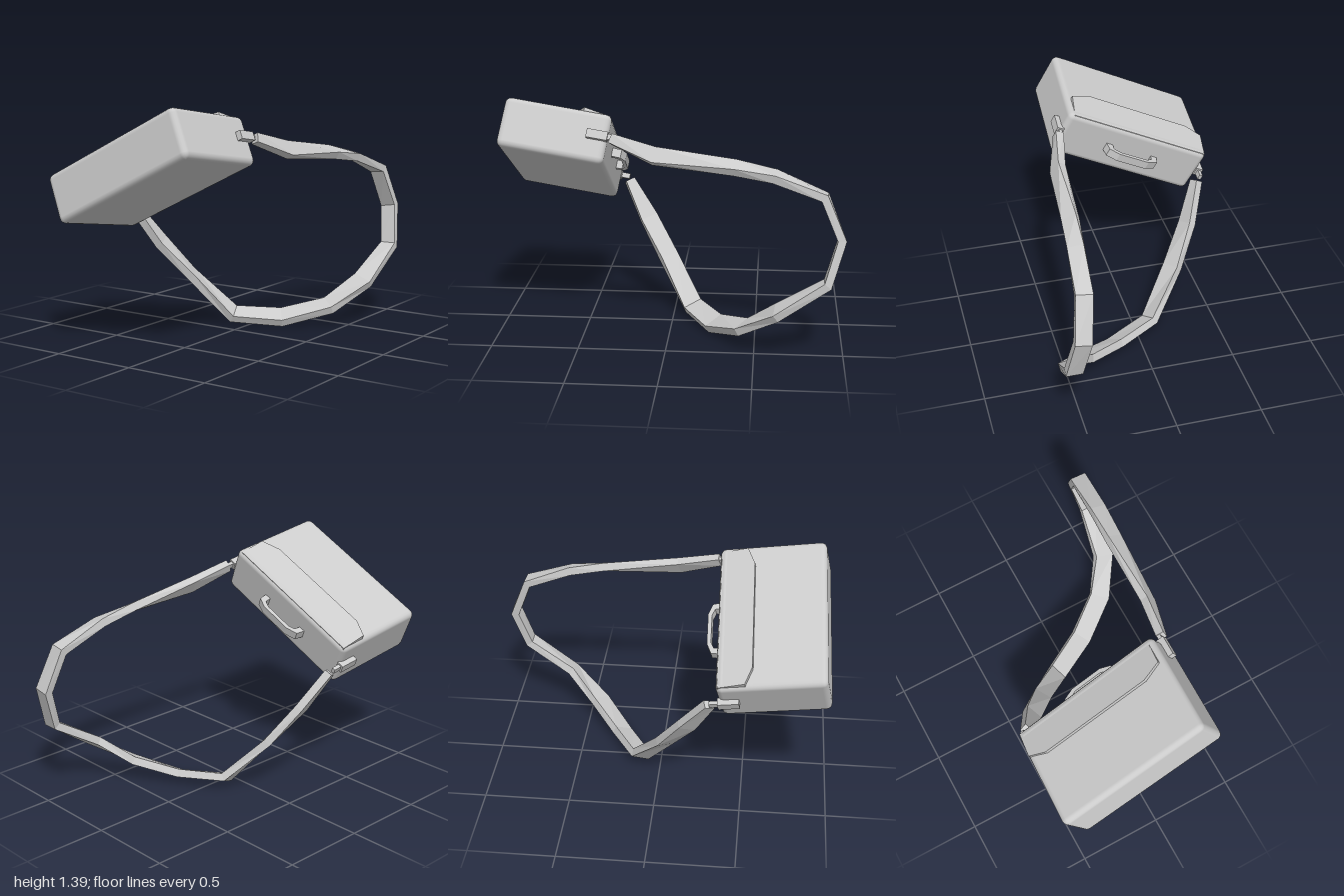
import * as THREE from 'three';
import { RoundedBoxGeometry } from 'three/addons/geometries/RoundedBoxGeometry.js';

const grey = new THREE.MeshStandardMaterial({ color: 0xcccccc });
const flat = new THREE.MeshStandardMaterial({ color: 0xcccccc, flatShading: true });
const V = (p) => new THREE.Vector3(...p);

function add(parent, name, geometry, material = flat) {
  const mesh = new THREE.Mesh(geometry, material);
  mesh.name = name;
  parent.add(mesh);
  return mesh;
}

// Outline in (length, toward handle), extruded through the bag's thickness
function slab(points, depth) {
  const shape = new THREE.Shape(points.map(([x, y]) => new THREE.Vector2(x, y)));
  return new THREE.ExtrudeGeometry(shape, { depth, bevelEnabled: false }).rotateX(-Math.PI / 2);
}

// Twisting band of rectangular section: each station is [centre, width vector]
function band(stations, thickness) {
  const centres = stations.map((s) => V(s[0]));
  const pos = [], index = [], last = stations.length - 1;
  stations.forEach((s, i) => {
    const t = centres[Math.min(i + 1, last)].clone().sub(centres[Math.max(i - 1, 0)]).normalize();
    const w = V(s[1]);
    const half = w.length() / 2;
    w.addScaledVector(t, -w.dot(t)).setLength(half);
    const n = t.clone().cross(w).setLength(thickness / 2);
    for (const [a, b] of [[-1, -1], [1, -1], [1, 1], [-1, 1]]) {
      pos.push(...centres[i].clone().addScaledVector(w, a).addScaledVector(n, b).toArray());
    }
    if (i === last) return;
    for (let j = 0; j < 4; j++) {
      const a = i * 4 + j, b = i * 4 + (j + 1) % 4;
      index.push(a, b, b + 4, a, b + 4, a + 4);
    }
  });
  const e = last * 4;
  index.push(0, 2, 1, 0, 3, 2, e, e + 1, e + 2, e, e + 2, e + 3);
  const g = new THREE.BufferGeometry();
  g.setAttribute('position', new THREE.Float32BufferAttribute(pos, 3));
  g.setIndex(index);
  const out = g.toNonIndexed();
  out.computeVertexNormals();
  return out;
}

export function createModel() {
  const model = new THREE.Group();
  model.name = 'shoulderBag';

  // Case, lying tilted with its handle toward the back
  const bag = new THREE.Group();
  bag.name = 'case';
  const x = V([0.894, 0.447, -0.027]).normalize();
  const y = V([-0.046, 0.154, 0.987]).cross(x).normalize();
  const z = x.clone().cross(y);
  bag.quaternion.setFromRotationMatrix(new THREE.Matrix4().makeBasis(x, y, z));
  bag.position.set(-0.107, 1.037, 0.655);
  model.add(bag);

  add(bag, 'body', new RoundedBoxGeometry(0.955, 0.29, 0.615, 2, 0.035), grey);

  // Flap with cut corners, rising toward its free edge
  const flap = slab([[-0.462, 0.14], [-0.36, 0.098], [0.33, 0.098], [0.445, 0.14],
    [0.445, 0.295], [-0.462, 0.295]], 1);
  const p = flap.attributes.position;
  for (let i = 0; i < p.count; i++) {
    p.setY(i, 0.12 + p.getY(i) * (0.053 - 0.17 * (-p.getZ(i) - 0.1)));
  }
  flap.computeVertexNormals();
  add(bag, 'flap', flap);

  // Carrying handle
  const handle = slab([[-0.175, 0], [-0.165, 0.06], [-0.1, 0.085], [0.1, 0.085], [0.165, 0.06],
    [0.175, 0], [0.135, 0], [0.13, 0.045], [0.09, 0.062], [-0.09, 0.062], [-0.13, 0.045],
    [-0.135, 0]], 0.05);
  add(bag, 'handle', handle).position.set(0, -0.025, -0.3);

  // Strap brackets and their links at both ends
  for (const side of [-1, 1]) {
    add(bag, 'strapBracket', new THREE.BoxGeometry(0.045, 0.05, 0.12))
      .position.set(side * 0.487, 0.01, -0.25);
    add(bag, 'strapLink', new THREE.BoxGeometry(0.022, 0.032, 0.06))
      .position.set(side * 0.487, 0.01, -0.33);
  }

  // Shoulder strap, looping back from one end of the case to the other
  add(model, 'strap', band([
    [[-0.505, 0.755, 0.31], [-0.03, 0.03, -0.04]],
    [[-0.41, 0.54, 0.18], [-0.05, 0.05, -0.08]],
    [[-0.28, 0.33, 0.045], [-0.07, 0.035, -0.08]],
    [[-0.09, 0.08, -0.12], [-0.05, 0.05, -0.09]],
    [[0.165, 0.065, -0.265], [-0.045, 0.055, -0.1]],
    [[0.395, 0.135, -0.435], [-0.07, 0.045, -0.09]],
    [[0.525, 0.275, -0.625], [-0.09, 0.06, -0.05]],
    [[0.557, 0.46, -0.9], [-0.095, 0, 0]],
    [[0.518, 0.7, -0.972], [-0.095, 0, 0]],
    [[0.485, 0.935, -0.875], [-0.095, 0, 0]],
    [[0.46, 1.04, -0.6], [-0.09, 0.02, 0]],
    [[0.44, 1.08, -0.38], [-0.08, 0.04, 0]],
    [[0.41, 1.13, 0.07], [-0.05, 0.08, 0]],
    [[0.35, 1.21, 0.315], [-0.02, 0.05, 0]],
  ], 0.048));

  return model;
}
